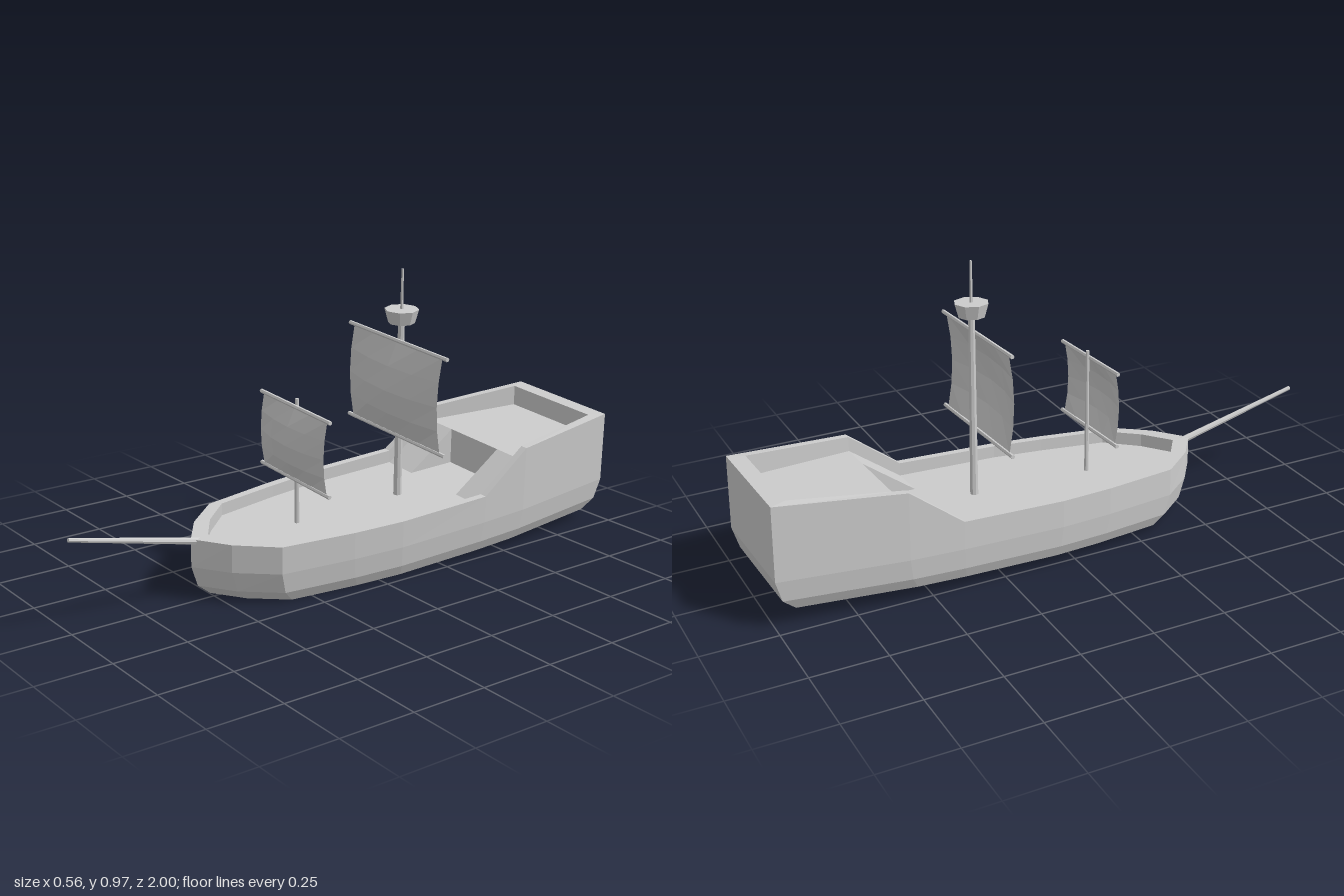
import * as THREE from 'three';

const material = new THREE.MeshStandardMaterial({ color: 0xcccccc, flatShading: true });
const clothMaterial = new THREE.MeshStandardMaterial({ color: 0xcccccc, flatShading: true, side: THREE.DoubleSide });

const DECK = 0.18;
const POOP = 0.305;

// Half plan from bow to stern: outer x, z, inner x, z, rail height
const stations = [
  [0, 0.57, 0, 0.507, 0.225],
  [0.11, 0.49, 0.097, 0.438, 0.224],
  [0.21, 0.37, 0.188, 0.335, 0.222],
  [0.25, 0.12, 0.222, 0.11, 0.221],
  [0.268, -0.06, 0.241, -0.06, 0.221],
  [0.27, -0.406, 0.245, -0.406, 0.224],
  [0.264, -0.585, 0.239, -0.585, 0.354],
  [0.217, -1, 0.19, -0.945, 0.376],
];

function part(name, geometry, mat = material) {
  const mesh = new THREE.Mesh(geometry, mat);
  mesh.name = name;
  return mesh;
}

// Tapered round pole between two points
function pole(name, from, to, r0, r1, sides = 8) {
  const a = new THREE.Vector3(...from);
  const b = new THREE.Vector3(...to);
  const dir = b.clone().sub(a);
  const mesh = part(name, new THREE.CylinderGeometry(r1, r0, dir.length(), sides));
  mesh.position.copy(a).add(b).multiplyScalar(0.5);
  mesh.quaternion.setFromUnitVectors(new THREE.Vector3(0, 1, 0), dir.normalize());
  return mesh;
}

// Hull skin: rings from keel to rail, over the rail and down to the deck
function hullGeometry() {
  const mirrored = stations.slice(1).reverse().map(([x, z, ix, iz, y]) => [-x, z, -ix, iz, y]);
  const loop = [...stations, ...mirrored];
  const midZ = -0.215;
  const lower = (y, sx, sz) => loop.map(([x, z]) => [x * sx, y, midZ + (z - midZ) * sz]);
  const rings = [
    lower(0.022, 0.9, 0.915),
    lower(0.06, 0.965, 0.972),
    lower(0.13, 0.995, 1),
    loop.map(([x, z, , , y]) => [x, y, z]),
    loop.map(([, , x, z, y]) => [x, y, z]),
    loop.map(([, , x, z]) => [x, DECK, z]),
  ];
  const n = loop.length;
  const index = [];
  for (let r = 0; r < rings.length - 1; r++) {
    for (let i = 0; i < n; i++) {
      const j = (i + 1) % n;
      const a = r * n + i, b = r * n + j, c = b + n, d = a + n;
      index.push(a, b, c, a, c, d);
    }
  }
  // Flat bottom and main deck
  const top = (rings.length - 1) * n;
  for (let i = 1; i < n - 1; i++) {
    index.push(0, i + 1, i);
    index.push(top, top + i, top + i + 1);
  }
  const geometry = new THREE.BufferGeometry();
  geometry.setAttribute('position', new THREE.Float32BufferAttribute(rings.flat(2), 3));
  geometry.setIndex(index);
  const flat = geometry.toNonIndexed();
  flat.computeVertexNormals();
  return flat;
}

// Raised stern deck filling the inner plan
function poopGeometry() {
  const [, , fx, fz] = stations[6];
  const [, , bx, bz] = stations[7];
  const shape = new THREE.Shape([[-fx, -fz], [fx, -fz], [bx, -bz], [-bx, -bz]].map(p => new THREE.Vector2(...p)));
  const geometry = new THREE.ExtrudeGeometry(shape, { depth: POOP - DECK, bevelEnabled: false });
  return geometry.rotateX(-Math.PI / 2).translate(0, DECK, 0);
}

// Sloping wedge from main deck to stern deck, extruded across x
function rampGeometry(width) {
  const shape = new THREE.Shape([
    new THREE.Vector2(0.406, DECK), new THREE.Vector2(0.585, DECK), new THREE.Vector2(0.585, POOP),
  ]);
  const geometry = new THREE.ExtrudeGeometry(shape, { depth: width, bevelEnabled: false });
  return geometry.rotateY(Math.PI / 2).translate(-width / 2, 0, 0);
}

// Sail billowing forward between two yards
function sail(name, half, yardHalf, low, high, z, bulge) {
  const group = new THREE.Group();
  group.name = name;
  const cloth = new THREE.PlaneGeometry(half * 2, high - low, 4, 4);
  const p = cloth.attributes.position;
  for (let i = 0; i < p.count; i++) {
    const u = p.getX(i) / half;
    const v = p.getY(i) / ((high - low) / 2);
    p.setZ(i, bulge * (1 - v * v) * (1 - 0.65 * u * u));
  }
  cloth.translate(0, (low + high) / 2, z);
  cloth.computeVertexNormals();
  group.add(part('sailCloth', cloth, clothMaterial));
  for (const [yardName, y] of [['upperYard', high], ['lowerYard', low]]) {
    group.add(pole(yardName, [-yardHalf, y, z], [yardHalf, y, z], 0.007, 0.007, 6));
  }
  return group;
}

export function createModel() {
  const ship = new THREE.Group();
  ship.name = 'sailingShip';

  // Hull and decks
  ship.add(part('hull', hullGeometry()));
  ship.add(part('poopDeck', poopGeometry()));
  for (const side of [-1, 1]) {
    const ramp = part(side > 0 ? 'leftRamp' : 'rightRamp', rampGeometry(0.122));
    ramp.position.x = side * 0.181;
    ship.add(ramp);
  }

  // Masts and bowsprit
  ship.add(pole('mainMast', [0, DECK - 0.01, -0.248], [0, 0.8, -0.248], 0.014, 0.011));
  ship.add(pole('topMast', [0, 0.8, -0.248], [0, 0.965, -0.248], 0.006, 0.004, 6));
  ship.add(pole('foreMast', [0, DECK - 0.01, 0.168], [0, 0.605, 0.168], 0.008, 0.006));
  ship.add(pole('bowsprit', [0.005, 0.213, 0.54], [0.005, 0.333, 0.99], 0.012, 0.007));

  // Lookout basket
  const nest = part('crowsNest', new THREE.CylinderGeometry(0.057, 0.044, 0.046, 8));
  nest.position.set(0, 0.808, -0.248);
  ship.add(nest);

  // Sails
  ship.add(sail('mainSail', 0.23, 0.255, 0.4, 0.726, -0.232, 0.05));
  ship.add(sail('foreSail', 0.173, 0.189, 0.333, 0.58, 0.176, 0.04));

  // Slight heel and pitch of the whole vessel
  ship.rotation.set(0.028, 0, -0.055);
  ship.position.set(-0.018, -0.002, 0);

  const model = new THREE.Group();
  model.name = 'ship';
  model.add(ship);
  return model;
}
